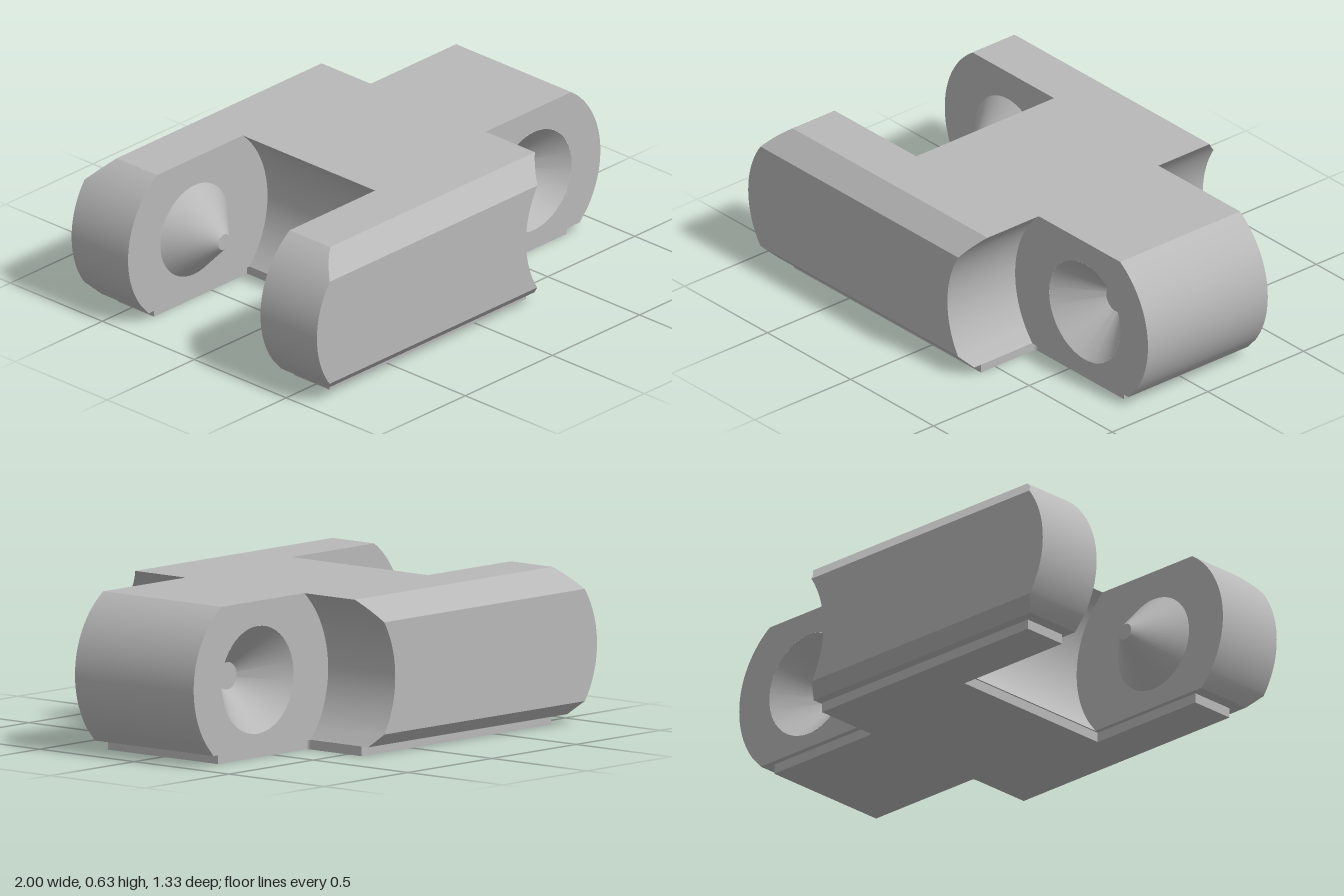
import * as THREE from 'three';
import { toCreasedNormals } from 'three/addons/utils/BufferGeometryUtils.js';

const AXIS_X = 0.62, AXIS_Y = 0.315;      // hinge axis (mirrored in x for the fork)
const Y0 = 0.04, Y1 = 0.63;               // body bottom and top
const TONGUE = 0.313, FORK = 0.36, OUTER = 0.667;

// Rounded end and the concave clearance that faces it, at height y
const convex = (y) => AXIS_X + Math.sqrt(0.38 ** 2 - (y - AXIS_Y) ** 2);
const concave = (y) => AXIS_X - Math.sqrt(0.42 ** 2 - (y - AXIS_Y) ** 2);
// Outer side of the arms, with top and bottom chamfers
const outer = (y) => Math.min(OUTER, 0.58 + (Y1 - y) * 0.967, 0.615 + (y - Y0));

// Heights of the cross-sections, including both chamfer lines
const rows = [Y0, 0.092];
for (let i = 1; i <= 28; i++) rows.push(0.092 + (0.54 - 0.092) * i / 28);
for (let i = 1; i <= 8; i++) rows.push(0.54 + (Y1 - 0.54) * i / 8);

// Plan outline at height y, as [x, -z], counter-clockwise
function plan(y) {
  const c = convex(y), v = concave(y), o = outer(y);
  return [
    [c, -TONGUE], [c, TONGUE], [v, TONGUE], [v, o], [-c, o], [-c, FORK],
    [-v, FORK], [-v, -FORK], [-c, -FORK], [-c, -o], [v, -o], [v, -TONGUE],
  ];
}

// Body lofted through the plans; the tongue sides are left open for the sockets
function bodyGeometry() {
  const pos = [];
  const put = (p, y) => pos.push(p[0], y, -p[1]);
  for (let r = 0; r < rows.length - 1; r++) {
    const ya = rows[r], yb = rows[r + 1], a = plan(ya), b = plan(yb);
    for (let i = 0; i < 12; i++) {
      if (i === 1 || i === 11) continue;
      const j = (i + 1) % 12;
      put(a[i], ya); put(a[j], ya); put(b[j], yb);
      put(a[i], ya); put(b[j], yb); put(b[i], yb);
    }
  }
  for (const [y, up] of [[Y0, false], [Y1, true]]) {
    const ring = plan(y);
    const tris = THREE.ShapeUtils.triangulateShape(ring.map((p) => new THREE.Vector2(...p)), []);
    for (const t of tris) for (const k of up ? t : [...t].reverse()) put(ring[k], y);
  }
  const g = new THREE.BufferGeometry();
  g.setAttribute('position', new THREE.Float32BufferAttribute(pos, 3));
  return toCreasedNormals(g, 0.5);
}

// Flat tongue side with a round socket opening
function tongueSideGeometry(side) {
  const pts = rows.map((y) => new THREE.Vector2(convex(y), y));
  for (const y of [...rows].reverse()) pts.push(new THREE.Vector2(concave(y), y));
  const shape = new THREE.Shape(pts);
  shape.holes.push(new THREE.Path().absarc(AXIS_X, AXIS_Y, 0.215, 0, Math.PI * 2, true));
  const g = new THREE.ShapeGeometry(shape, 48);
  if (side < 0) {
    g.index.array.reverse();
    g.scale(1, 1, -1);
    g.computeVertexNormals();
  }
  return g;
}

// Inset foot plate with small fillets where tongue and arms meet
function footGeometry() {
  const s = new THREE.Shape();
  s.moveTo(0.83, -0.29);
  s.lineTo(0.83, 0.29);
  s.lineTo(0.312, 0.29);
  s.quadraticCurveTo(0.296, 0.29, 0.296, 0.306);
  for (const [x, z] of [[0.296, 0.575], [-0.83, 0.575], [-0.83, 0.38], [-0.296, 0.38],
    [-0.296, -0.38], [-0.83, -0.38], [-0.83, -0.575], [0.296, -0.575], [0.296, -0.306]]) s.lineTo(x, z);
  s.quadraticCurveTo(0.296, -0.29, 0.312, -0.29);
  s.closePath();
  return new THREE.ExtrudeGeometry(s, { depth: Y0, bevelEnabled: false, curveSegments: 6 })
    .rotateX(-Math.PI / 2);
}

export function createModel() {
  const model = new THREE.Group();
  model.name = 'chainLink';
  const grey = new THREE.MeshStandardMaterial({ color: 0xb8b8b8 });
  grey.name = 'grey';
  const add = (name, geometry) => {
    const m = new THREE.Mesh(geometry, grey);
    m.name = name;
    model.add(m);
    return m;
  };

  add('linkBody', bodyGeometry());
  add('footPlate', footGeometry());

  // Conical sockets in the tongue and matching pegs inside the fork
  const bowl = [[0.215, 0], [0.055, -0.16], [0, -0.16]].map((p) => new THREE.Vector2(...p));
  const socketGeo = toCreasedNormals(new THREE.LatheGeometry(bowl, 48), 0.5);
  const pegGeo = new THREE.CylinderGeometry(0.033, 0.195, 0.162, 48);
  for (const [side, label] of [[1, 'front'], [-1, 'back']]) {
    add(label + 'TongueSide', tongueSideGeometry(side)).position.z = side * TONGUE;

    const socket = add(label + 'Socket', socketGeo);
    socket.rotation.x = side * Math.PI / 2;
    socket.position.set(AXIS_X, AXIS_Y, side * TONGUE);

    const peg = add(label + 'Peg', pegGeo);
    peg.rotation.x = -side * Math.PI / 2;
    peg.position.set(-AXIS_X, AXIS_Y, side * (FORK - 0.081));
  }
  return model;
}
